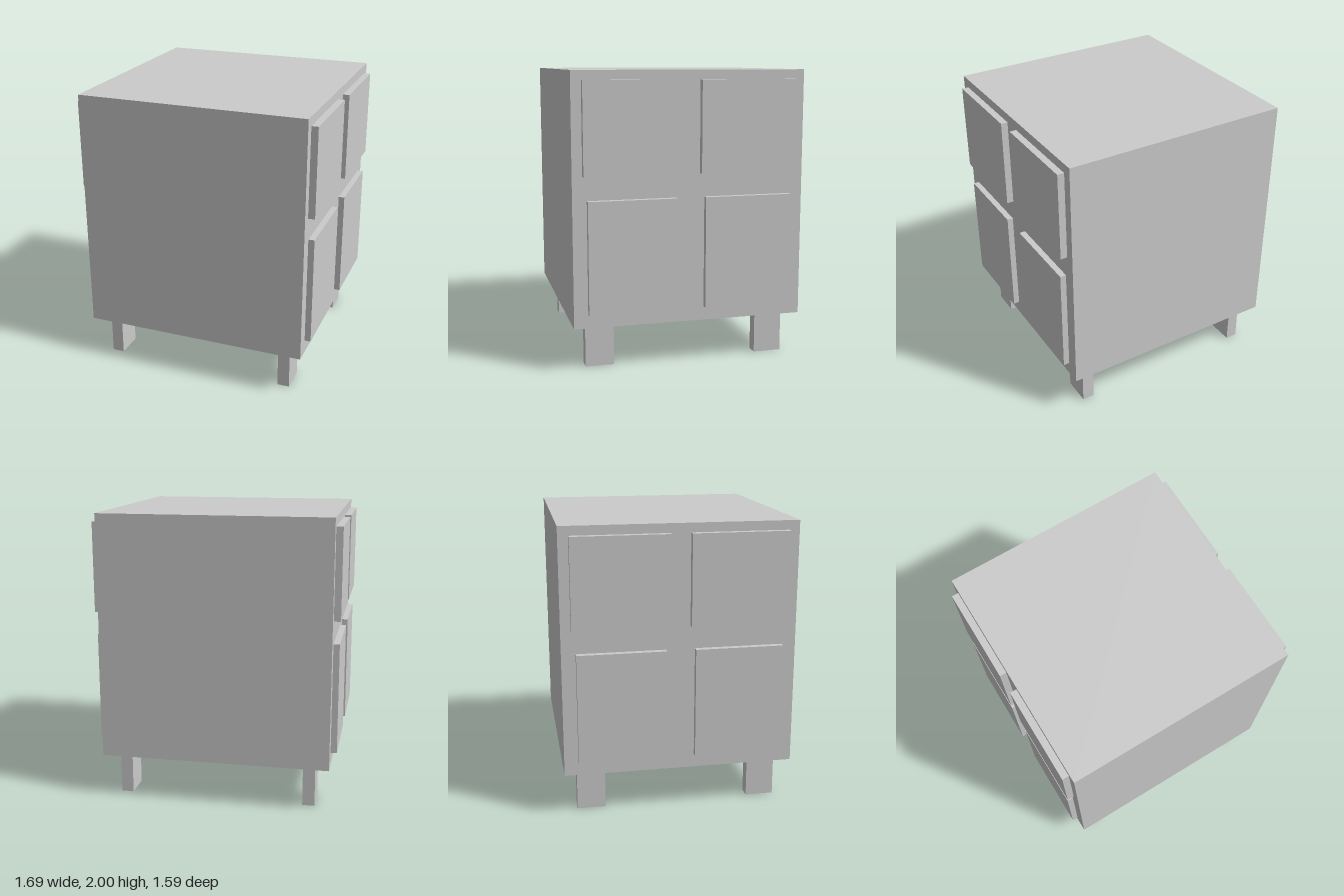
import * as THREE from 'three';

const material = new THREE.MeshStandardMaterial({ color: 0xcccccc, flatShading: true });

// Box given by its extents on each axis
function box(name, [x0, x1], [y0, y1], [z0, z1]) {
  const mesh = new THREE.Mesh(new THREE.BoxGeometry(x1 - x0, y1 - y0, z1 - z0), material);
  mesh.position.set((x0 + x1) / 2, (y0 + y1) / 2, (z0 + z1) / 2);
  mesh.name = name;
  return mesh;
}

// Extents mirrored to the negative side when sign is -1
const mirror = (sign, a, b) => (sign > 0 ? [a, b] : [-b, -a]);

export function createModel() {
  const group = new THREE.Group();
  group.name = 'cabinet';
  const half = 0.797;

  group.add(box('cabinetBody', [-half, half], [0.3, 2], [-half, half]));

  for (const sx of [1, -1]) {
    const side = sx > 0 ? 'left' : 'right';
    for (const sz of [1, -1]) {
      const end = sz > 0 ? 'Front' : 'Back';
      // Raised panels on both sides, slightly sunk into the body
      group.add(box(`${side}${end}UpperPanel`, mirror(sx, half - 0.02, 0.844), [1.317, 1.937], mirror(sz, 0.066, 0.728)));
      group.add(box(`${side}${end}LowerPanel`, mirror(sx, half - 0.02, 0.839), [0.396, 1.158], mirror(sz, 0.098, 0.701)));
      // Short rectangular legs
      group.add(box(`${side}${end}Leg`, mirror(sx, 0.611, 0.696), [0, 0.3], mirror(sz, 0.51, 0.707)));
    }
  }
  return group;
}
